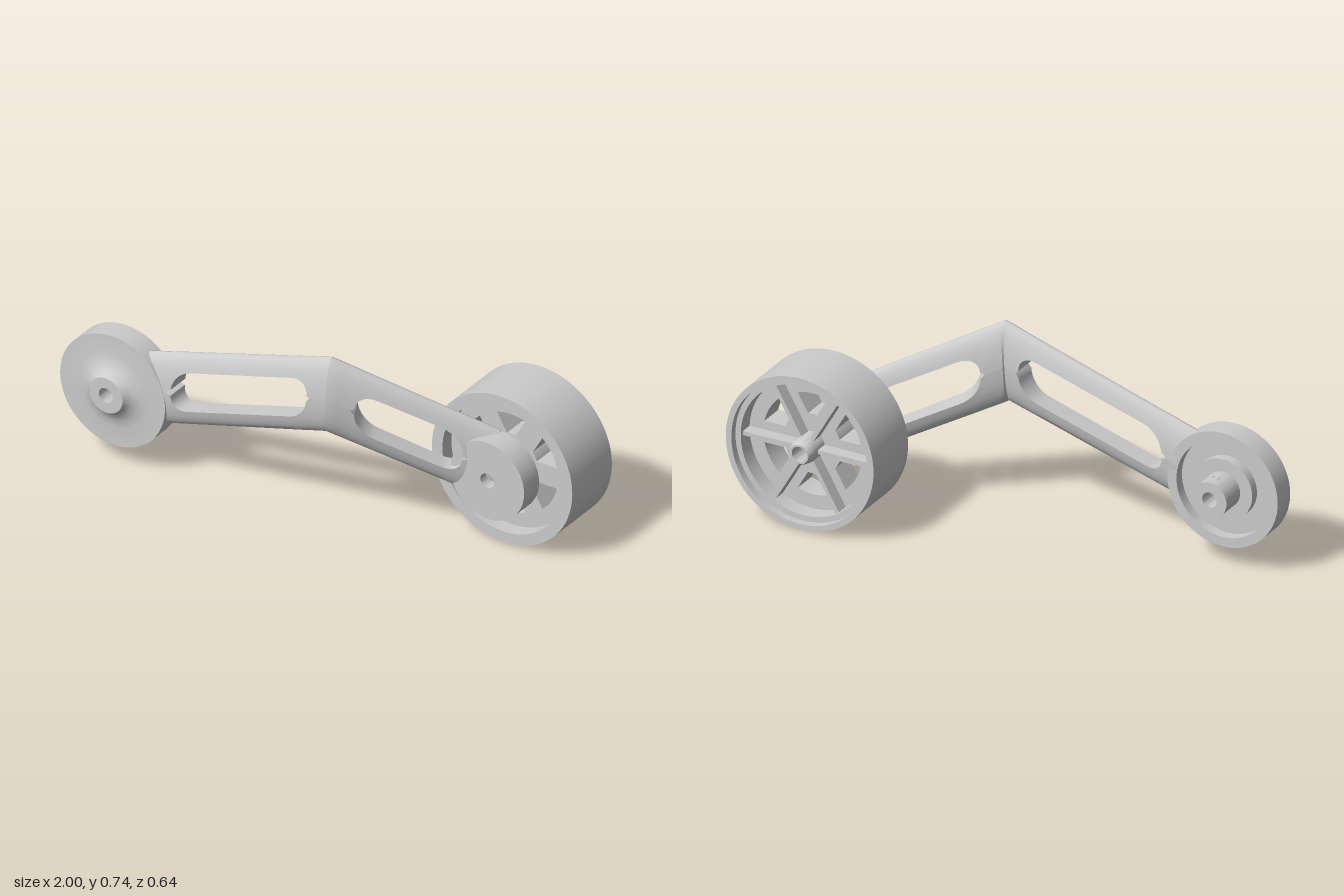
import * as THREE from 'three';
import { toCreasedNormals } from 'three/addons/utils/BufferGeometryUtils.js';

const material = new THREE.MeshStandardMaterial({ color: 0xcccccc });
const HUB = [-0.772, 0.307];
const WHEEL = [0.692, 0.307];

function part(name, geometry, crease = 0.5) {
  const mesh = new THREE.Mesh(toCreasedNormals(geometry, crease), material);
  mesh.name = name;
  return mesh;
}

// Turned part around the z axis; the profile is a closed list of [radius, z], counterclockwise
function turned(name, profile, [x, y], segments = 72) {
  const points = [...profile, profile[0]].map(([r, z]) => new THREE.Vector2(r, z));
  const geometry = new THREE.LatheGeometry(points, segments).rotateX(Math.PI / 2);
  return part(name, geometry.translate(x, y, 0));
}

// Straight arm from a to b: elliptical section, pierced by a rounded window.
// One half (side = 1 upper, -1 lower) is lofted through sections along x.
function armHalf(a, b, win, side) {
  const R = 0.07, H = 0.083, K = 14;
  const xs = [a.x];
  for (let i = 1; i < 6; i++) xs.push(a.x + (win[0] - a.x) * i / 6);
  const first = xs.length;
  for (let i = 0; i <= 8; i++) xs.push(win[0] + R * (1 - Math.cos(i / 8 * Math.PI / 2)));
  for (let i = 0; i <= 8; i++) xs.push(win[1] - R + R * Math.sin(i / 8 * Math.PI / 2));
  const last = xs.length - 1;
  for (let i = 1; i <= 6; i++) xs.push(win[1] + (b.x - win[1]) * i / 6);

  const pos = [], index = [];
  xs.forEach((x, i) => {
    const t = (x - a.x) / (b.x - a.x);
    const mix = k => a[k] + (b[k] - a[k]) * t;
    // window half height in this section
    let h = 0;
    if (i >= first && i <= last) {
      const e = Math.max(0, R - Math.min(x - win[0], win[1] - x));
      h = H - R + Math.sqrt(Math.max(0, R * R - e * e));
    }
    const w = mix('w'), a0 = Math.asin(h / w);
    // offset direction across the plate, mitred at the bend
    const lean = i === 0 ? a.lean : i === xs.length - 1 ? b.lean : win[2];
    for (let j = 0; j <= K; j++) {
      const ang = a0 + (Math.PI - 2 * a0) * j / K;
      const v = side * w * Math.sin(ang), d = mix('t') * Math.cos(ang);
      let px = x + lean * d + 0.06 * v;
      const py = mix('y') + v;
      // the hub end follows the curve of the hub rim
      const dy = py - HUB[1];
      if (px < -0.5) px = Math.max(px, HUB[0] + Math.sqrt(Math.max(0, 0.2 ** 2 - dy * dy)));
      pos.push(px, py, mix('z') + d);
    }
  });
  const n = K + 1;
  const tri = (p, q, r) => index.push(...(side > 0 ? [p, q, r] : [p, r, q]));
  for (let i = 0; i < xs.length - 1; i++) {
    for (let j = 0; j < n; j++) {
      const j2 = (j + 1) % n;
      const p = i * n + j, q = i * n + j2, r = p + n, s = q + n;
      tri(p, r, q);
      tri(q, r, s);
    }
  }
  // end caps
  const e = (xs.length - 1) * n;
  for (let j = 1; j < K; j++) {
    tri(0, j, j + 1);
    tri(e, e + j + 1, e + j);
  }
  const geometry = new THREE.BufferGeometry();
  geometry.setAttribute('position', new THREE.Float32BufferAttribute(pos, 3));
  geometry.setIndex(index);
  return geometry;
}

function buildArm() {
  const arm = new THREE.Group();
  arm.name = 'arm';
  const start = { x: -0.66, y: 0.341, z: 0.23, w: 0.151, t: 0.046, lean: 0 };
  const bend = { x: 0.14, y: 0.583, z: 0.23, w: 0.158, t: 0.047, lean: 0.25 };
  const end = { x: 0.68, y: 0.322, z: -0.055, w: 0.153, t: 0.036, lean: 0.5 };
  for (const side of [1, -1]) {
    const rail = side > 0 ? 'upper' : 'lower';
    arm.add(part(rail + 'RearArm', armHalf(start, bend, [-0.52, 0.07, 0], side)));
    arm.add(part(rail + 'FrontArm', armHalf(bend, end, [0.225, 0.57, 0.5], side)));
  }
  return arm;
}

function buildHub() {
  const hub = new THREE.Group();
  hub.name = 'pivotHub';
  // recessed disc with a flared front boss and a rear collar
  hub.add(turned('pivotDisc', [
    [0.03, 0.09], [0.07, 0.09], [0.07, 0.19], [0.12, 0.19], [0.12, 0.225], [0.19, 0.225],
    [0.19, 0.185], [0.228, 0.185], [0.228, 0.277], [0.15, 0.277], [0.12, 0.282],
    [0.095, 0.293], [0.08, 0.306], [0.072, 0.32], [0.03, 0.32],
  ], HUB));
  // set screw seat on top of the collar
  const seat = new THREE.TorusGeometry(0.012, 0.003, 8, 24).rotateX(Math.PI / 2);
  hub.add(part('setScrewSeat', seat.translate(HUB[0], HUB[1] + 0.069, 0.137), 1));
  return hub;
}

function buildWheel() {
  const wheel = new THREE.Group();
  wheel.name = 'wheel';
  // rim with a stepped rear lip
  wheel.add(turned('rim', [
    [0.282, -0.315], [0.305, -0.315], [0.305, -0.062], [0.26, -0.062],
    [0.26, -0.285], [0.282, -0.285],
  ], WHEEL, 96));

  // web with six windows between the spokes
  const web = new THREE.Shape().absarc(0, 0, 0.262, 0, Math.PI * 2);
  web.holes.push(new THREE.Path().absarc(0, 0, 0.03, 0, Math.PI * 2, true));
  const inner = 0.12, outer = 0.203, half = 0.043;
  for (let i = 0; i < 6; i++) {
    const mid = (i + 0.5) * Math.PI / 3;
    const ao = Math.PI / 6 - Math.asin(half / outer);
    const ai = Math.PI / 6 - Math.asin(half / inner);
    const hole = new THREE.Path();
    hole.absarc(0, 0, outer, mid - ao, mid + ao, false);
    hole.absarc(0, 0, inner, mid + ai, mid - ai, true);
    hole.closePath();
    web.holes.push(hole);
  }
  const webGeometry = new THREE.ExtrudeGeometry(web, { depth: 0.1, bevelEnabled: false, curveSegments: 24 });
  wheel.add(part('web', webGeometry.translate(WHEEL[0], WHEEL[1], -0.22)));

  // thin ribs behind the spokes
  for (let i = 0; i < 6; i++) {
    const rib = new THREE.BoxGeometry(0.225, 0.016, 0.06).translate(0.15, 0, -0.24);
    rib.rotateZ(i * Math.PI / 3).translate(WHEEL[0], WHEEL[1], 0);
    wheel.add(part('rib', rib));
  }

  // bored centre boss
  wheel.add(turned('wheelBoss', [
    [0.03, -0.319], [0.038, -0.319], [0.043, -0.312], [0.05, -0.28], [0.05, -0.2],
    [0.08, -0.2], [0.08, -0.06], [0.03, -0.06],
  ], WHEEL, 48));
  return wheel;
}

export function createModel() {
  const model = new THREE.Group();
  model.name = 'wheelArm';
  model.add(buildArm(), buildHub(), buildWheel());
  // round mount at the wheel end of the arm
  model.add(turned('wheelMount', [
    [0.03, -0.063], [0.16, -0.063], [0.16, 0.033], [0.03, 0.033],
  ], WHEEL));
  return model;
}
